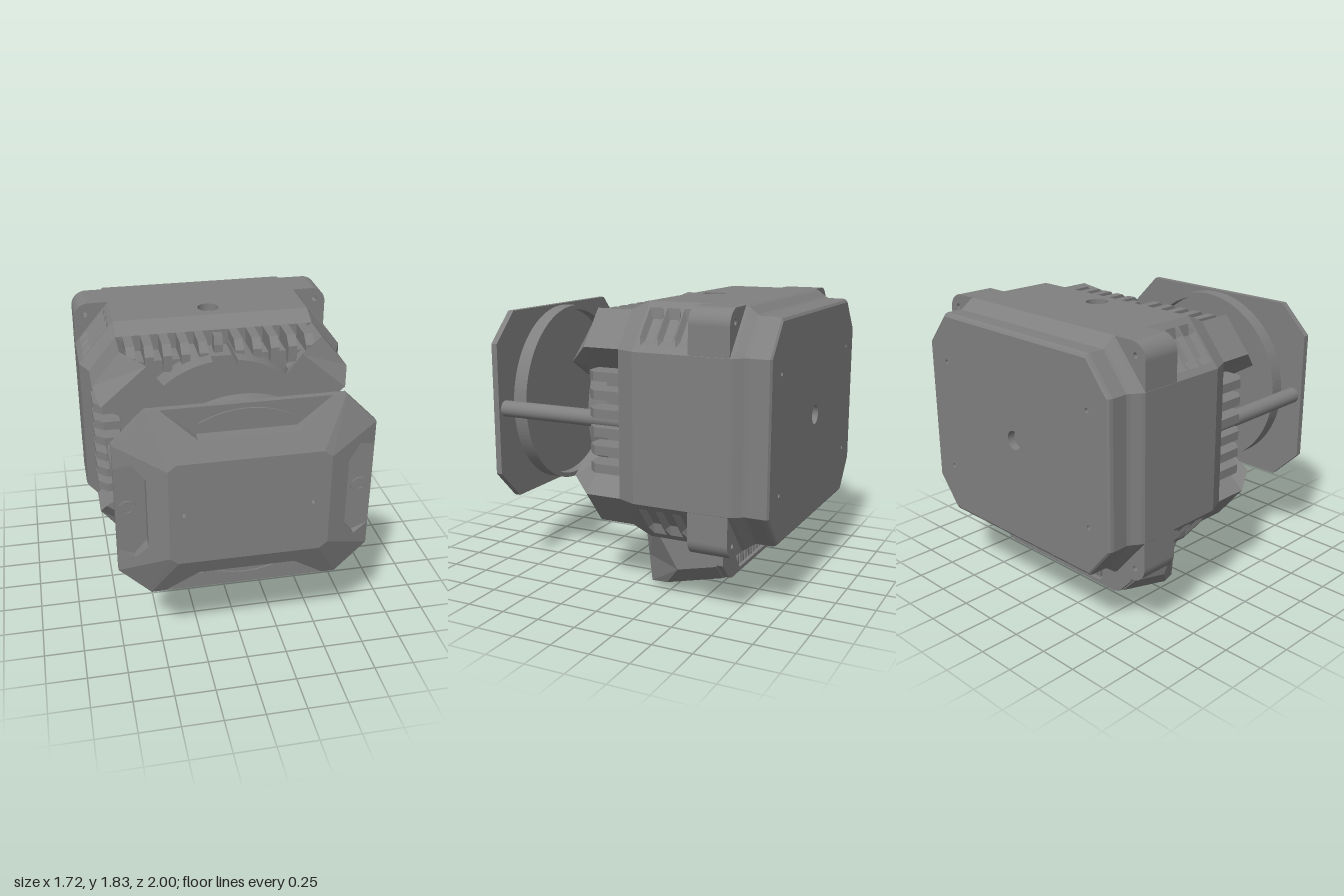
import * as THREE from 'three';

const grey = new THREE.MeshStandardMaterial({ color: 0x808080, side: THREE.DoubleSide });
grey.name = 'housing grey';

const signs = [-1, 1];
const V = (p) => new THREE.Vector2(p[0], p[1]);

function add(parent, name, geometry, x = 0, y = 0, z = 0) {
  const mesh = new THREE.Mesh(geometry, grey);
  mesh.name = name;
  mesh.position.set(x, y, z);
  parent.add(mesh);
  return mesh;
}

function punch(shape, holes) {
  for (const [x, y, r] of holes) shape.holes.push(new THREE.Path().absarc(x, y, r, 0, Math.PI * 2, true));
  return shape;
}

const outline = (points, holes = []) => punch(new THREE.Shape(points.map(V)), holes);

const disc = (r, hole) => punch(new THREE.Shape().absarc(0, 0, r, 0, Math.PI * 2, false), [[0, 0, hole]]);

const extrude = (shape, depth, curveSegments = 24) =>
  new THREE.ExtrudeGeometry(shape, { depth, bevelEnabled: false, curveSegments });

function fromTriangles(list) {
  const g = new THREE.BufferGeometry();
  g.setAttribute('position', new THREE.Float32BufferAttribute(list.flat(), 3));
  g.computeVertexNormals();
  return g;
}

// Joins rings of 3D points with flat faces; skip(ring, side) leaves a face out
function loft(rings, capStart = true, capEnd = true, skip = () => false) {
  const tri = [];
  const n = rings[0].length;
  for (let k = 0; k + 1 < rings.length; k++) {
    for (let i = 0; i < n; i++) {
      if (skip(k, i)) continue;
      const j = (i + 1) % n, a = rings[k], b = rings[k + 1];
      tri.push(a[i], a[j], b[j], a[i], b[j], b[i]);
    }
  }
  const last = rings[rings.length - 1];
  for (let i = 1; i + 1 < n; i++) {
    if (capStart) tri.push(rings[0][0], rings[0][i + 1], rings[0][i]);
    if (capEnd) tri.push(last[0], last[i], last[i + 1]);
  }
  return fromTriangles(tri);
}

// Chamfered rectangle; d sinks a pocket into each chamfer
function section(hx, hy, z, d = 0) {
  const A = [0.63, hy], B = [hx, 0.45];
  const nx = A[1] - B[1], ny = B[0] - A[0], len = Math.hypot(nx, ny);
  const corner = [0, 0.13, 0.29, 0.71, 0.87, 1].map((t, i) => {
    const s = i === 2 || i === 3 ? d / len : 0;
    return [B[0] + (A[0] - B[0]) * t - nx * s, B[1] + (A[1] - B[1]) * t - ny * s];
  });
  const back = [...corner].reverse();
  return [
    ...corner.map(([x, y]) => [x, y, z]),
    ...back.map(([x, y]) => [-x, y, z]),
    ...corner.map(([x, y]) => [-x, -y, z]),
    ...back.map(([x, y]) => [x, -y, z]),
  ];
}

// Blind round hole lining, opening towards its own +z
function pocket(parent, name, r, depth, x, y, z, rx = 0) {
  const g = new THREE.Group();
  g.name = name;
  g.position.set(x, y, z);
  g.rotation.x = rx;
  add(g, 'holeWall', new THREE.CylinderGeometry(r, r, depth, 24, 1, true).rotateX(Math.PI / 2), 0, 0, -depth / 2);
  add(g, 'holeFloor', new THREE.CircleGeometry(r, 24), 0, 0, -depth);
  parent.add(g);
}

function buildHousing(root) {
  const body = new THREE.Group();
  body.name = 'housing';
  body.position.y = 1.11;
  root.add(body);

  // Main shell with three grip pockets on every chamfer
  const rings = [[0.785, 0.64, -1], [0.8, 0.655, -0.99], [0.806, 0.662, -0.97], [0.806, 0.662, -0.87],
    [0.815, 0.672, -0.85], [0.85, 0.71, -0.8], [0.86, 0.72, -0.78]].map((p) => section(...p));
  const topStart = rings.length - 1;
  for (const zc of [-0.47, -0.36, -0.25]) {
    for (const [dz, d] of [[-0.052, 0], [-0.03, 0.035], [0.03, 0.035], [0.052, 0]]) {
      rings.push(section(0.86, 0.72, zc + dz, d));
    }
  }
  rings.push(section(0.86, 0.72, -0.18));
  const topEnd = rings.length - 1;
  rings.push(section(0.806, 0.664, -0.06));
  add(body, 'shell', loft(rings, false, true, (k, i) => i === 5 && k >= topStart && k < topEnd));

  // Top panel with its threaded hole
  const top = outline([[-0.63, 0.18], [0.63, 0.18], [0.63, 0.78], [-0.63, 0.78]], [[0, 0.31, 0.068]]);
  add(body, 'topPanel', new THREE.ShapeGeometry(top, 24).rotateX(-Math.PI / 2), 0, 0.72, 0);
  pocket(body, 'topHole', 0.068, 0.05, 0, 0.72, -0.31, -Math.PI / 2);

  // Back panel with a central hole and four screw holes
  const backHoles = [[0, 0, 0.06]];
  for (const sx of signs) for (const sy of signs) backHoles.push([sx * 0.635, sy * 0.35, 0.014]);
  add(body, 'backPanel', new THREE.ShapeGeometry(outline(rings[0], backHoles), 24).rotateY(Math.PI), 0, 0, -1);
  for (const [x, y, r] of backHoles) pocket(body, 'backHole', r, 0.05, x, y, -1, Math.PI);

  // Mounting flange with rounded corners
  const w = 0.859, h = 0.719, r = 0.1;
  const flange = new THREE.Shape();
  flange.absarc(w - r, h - r, r, 0, Math.PI / 2);
  flange.absarc(r - w, h - r, r, Math.PI / 2, Math.PI);
  flange.absarc(r - w, r - h, r, Math.PI, Math.PI * 1.5);
  flange.absarc(w - r, r - h, r, Math.PI * 1.5, Math.PI * 2);
  for (const sx of signs) for (const sy of signs) punch(flange, [[sx * 0.785, sy * 0.64, 0.017]]);
  add(body, 'mountingFlange', extrude(flange, 0.25, 10), 0, 0, -0.78);

  // Recessed floor under the cooling fins
  add(body, 'finBase', loft([section(0.64, 0.56, -0.06), section(0.64, 0.56, 0.11)], false));

  // Front corner blocks, sloping down to the round rim
  const atZ = (pts, z) => pts.map(([x, y]) => [x, y, z]);
  const wide = [[0.42, 0.38], [0.6, 0.27], [0.806, 0.45], [0.63, 0.664], [0.42, 0.46]];
  const narrow = [[0.42, 0.38], [0.6, 0.25], [0.77, 0.35], [0.48, 0.6], [0.38, 0.46]];
  for (const sx of signs) for (const sy of signs) {
    add(body, 'cornerBlock', loft([atZ(wide, -0.06), atZ(wide, 0.17), atZ(narrow, 0.27)])).scale.set(sx, sy, 1);
  }

  // Cooling fins on all four sides, bevelled at their front ends
  const fin = extrude(outline([[0.06, 0], [0.06, 0.16], [-0.11, 0.16], [-0.165, 0.105], [-0.165, 0]]), 0.056)
    .translate(0, 0, -0.028).rotateY(Math.PI / 2);
  const finRow = (count, distance, angle) => {
    const row = new THREE.Group();
    row.name = 'finRow';
    row.rotation.z = angle;
    for (let i = 0; i < count; i++) add(row, 'fin', fin, (i - (count - 1) / 2) * 0.112, distance, 0);
    body.add(row);
    return row;
  };
  for (const s of [0, 1]) {
    finRow(6, 0.645, Math.PI / 2 + s * Math.PI);
    const row = finRow(11, 0.504, s * Math.PI);
    if (s === 0) row.children[5].scale.z = 0.35; // short fin above the rim notch
  }

  // Round front rim, notched at the top, and the disc inside it
  const gap = 0.13, from = Math.PI / 2 + gap, to = Math.PI * 2.5 - gap;
  const rim = new THREE.Shape().absarc(0, 0, 0.6, from, to, false).absarc(0, 0, 0.565, to, from, true);
  add(body, 'frontRim', extrude(rim, 0.33, 64), 0, 0, -0.06);
  add(body, 'frontDisc', new THREE.CircleGeometry(0.57, 64), 0, 0, 0.17);

  // Rods that carry the front plate
  for (const s of signs) {
    add(body, 'rod', new THREE.CylinderGeometry(0.052, 0.052, 0.92, 28).rotateX(Math.PI / 2), s * 0.69, 0, 0.39);
  }
}

function buildFrontPlate(root) {
  const plate = new THREE.Group();
  plate.name = 'frontPlate';
  plate.position.y = 1.11;
  root.add(plate);
  const low = 0.87;

  const octagon = [[0.57, 0.61], [-0.57, 0.61], [-0.76, 0.42], [-0.76, -0.42],
    [-0.57, -0.61], [0.57, -0.61], [0.76, -0.42], [0.76, 0.42]];
  add(plate, 'plateBase', extrude(outline(octagon), 0.04), 0, 0, 0.83);

  // Flat face with two small holes
  const face = [[0.42, 0.33], [-0.42, 0.33], [-0.47, 0.29], [-0.47, -0.29],
    [-0.42, -0.33], [0.42, -0.33], [0.47, -0.29], [0.47, 0.29]];
  const faceHoles = [[-0.385, 0, 0.013], [0.37, 0, 0.013]];
  add(plate, 'plateFace', new THREE.ShapeGeometry(outline(face, faceHoles)), 0, 0, 1);
  for (const [x, y, r] of faceHoles) pocket(plate, 'plateHole', r, 0.04, x, y, 1);

  // Sloping facet with a scoop cut into its outer edge
  const facet = (name, outer, scoop, inner, height) => {
    const g = new THREE.ShapeGeometry(outline([outer[0], ...scoop, outer[1], ...inner]));
    const p = g.attributes.position;
    for (let i = 0; i < p.count; i++) p.setZ(i, height(p.getX(i), p.getY(i)));
    g.computeVertexNormals();
    const walls = [];
    for (let i = 0; i + 1 < scoop.length; i++) {
      const [a, b] = [scoop[i], scoop[i + 1]];
      const A = [...a, height(...a)], B = [...b, height(...b)];
      walls.push([...a, low], [...b, low], B, [...a, low], B, A);
    }
    return [[name, g], [name + 'Scoop', fromTriangles(walls)]];
  };
  const endFacet = facet('endFacet', [[-0.57, 0.61], [0.57, 0.61]],
    [[-0.49, 0.61], [-0.29, 0.445], [0.29, 0.445], [0.49, 0.61]],
    [[0.42, 0.33], [-0.42, 0.33]], (x, y) => 1 - (y - 0.33) * 0.13 / 0.28);
  const sideFacet = facet('sideFacet', [[0.76, 0.42], [0.76, -0.42]],
    [[0.76, 0.27], [0.66, 0.31], [0.585, 0.22], [0.585, -0.22], [0.66, -0.31], [0.76, -0.27]],
    [[0.47, -0.29], [0.47, 0.29]], (x) => 1 - (x - 0.47) * 0.13 / 0.29);
  const arc = new THREE.Shape().absarc(0, 0, 0.58, 1.07, 2.07, false).absarc(0, 0, 0.53, 2.0, 1.14, true);
  for (const s of signs) {
    for (const [name, g] of endFacet) add(plate, name, g).scale.y = s;
    for (const [name, g] of sideFacet) add(plate, name, g).scale.x = s;
    add(plate, 'scoopArc', extrude(arc, 0.009), 0, 0, low).scale.y = s;
    add(plate, 'screwHead', extrude(disc(0.055, 0.022), 0.009), s * 0.69, 0, low);
    for (const t of signs) {
      const [a, b, c, d] = [[0.57, 0.61, low], [0.47, 0.29, 1], [0.76, 0.42, low], [0.42, 0.33, 1]];
      add(plate, 'cornerFacet', fromTriangles([a, b, c, a, d, b])).scale.set(s, t, 1);
    }
  }

  // Hollow ring behind the plate
  add(plate, 'rearRing', extrude(disc(0.6, 0.57), 0.1, 64), 0, 0, 0.735);
  add(plate, 'rearDisc', new THREE.CircleGeometry(0.57, 64).rotateY(Math.PI), 0, 0, 0.8);
}

function buildFoot(root) {
  const foot = new THREE.Group();
  foot.name = 'foot';
  root.add(foot);

  // Tapered bracket with chamfered wings, from front, wing and back corners
  const mirror = ([x, y, z]) => [-x, y, z];
  const level = (f, w, b) => [mirror(f), f, w, b, mirror(b), mirror(w)];
  add(foot, 'bracket', loft([
    level([0.34, 0.003, -0.12], [0.47, 0.04, -0.24], [0.47, 0.14, -0.62]),
    level([0.46, 0.025, -0.1], [0.53, 0.06, -0.24], [0.53, 0.155, -0.62]),
    level([0.46, 0.2, -0.08], [0.63, 0.2, -0.36], [0.63, 0.262, -0.62]),
    level([0.46, 0.46, -0.05], [0.63, 0.46, -0.2], [0.63, 0.46, -0.62]),
  ]));

  // Rear frame around a comb grille
  const frame = outline([[-0.48, 0.15], [0.48, 0.15], [0.53, 0.165], [0.63, 0.272],
    [0.63, 0.42], [-0.63, 0.42], [-0.63, 0.272], [-0.53, 0.165]]);
  frame.holes.push(new THREE.Path([[-0.36, 0.175], [-0.44, 0.29], [0.44, 0.29], [0.36, 0.175]].map(V)));
  add(foot, 'rearFrame', extrude(frame, 0.04), 0, 0, -0.66);
  for (let i = -12; i <= 12; i++) {
    add(foot, 'grilleBar', new THREE.BoxGeometry(0.013, 0.09, 0.025), i * 0.028, 0.225, -0.63);
  }

  // Mounting strip on the sloping underside
  const strip = new THREE.Shape().absarc(0.34, 0, 0.075, -Math.PI / 2, Math.PI / 2)
    .absarc(-0.34, 0, 0.075, Math.PI / 2, Math.PI * 1.5);
  punch(strip, [[-0.33, 0, 0.028], [-0.15, 0, 0.046], [0.15, 0, 0.046], [0.33, 0, 0.028]]);
  add(foot, 'mountingStrip', extrude(strip, 0.016), 0, 0.075, -0.37).rotation.x = Math.PI / 2 + 0.26;
}

export function createModel() {
  const model = new THREE.Group();
  model.name = 'deviceHousing';
  buildHousing(model);
  buildFrontPlate(model);
  buildFoot(model);
  return model;
}
